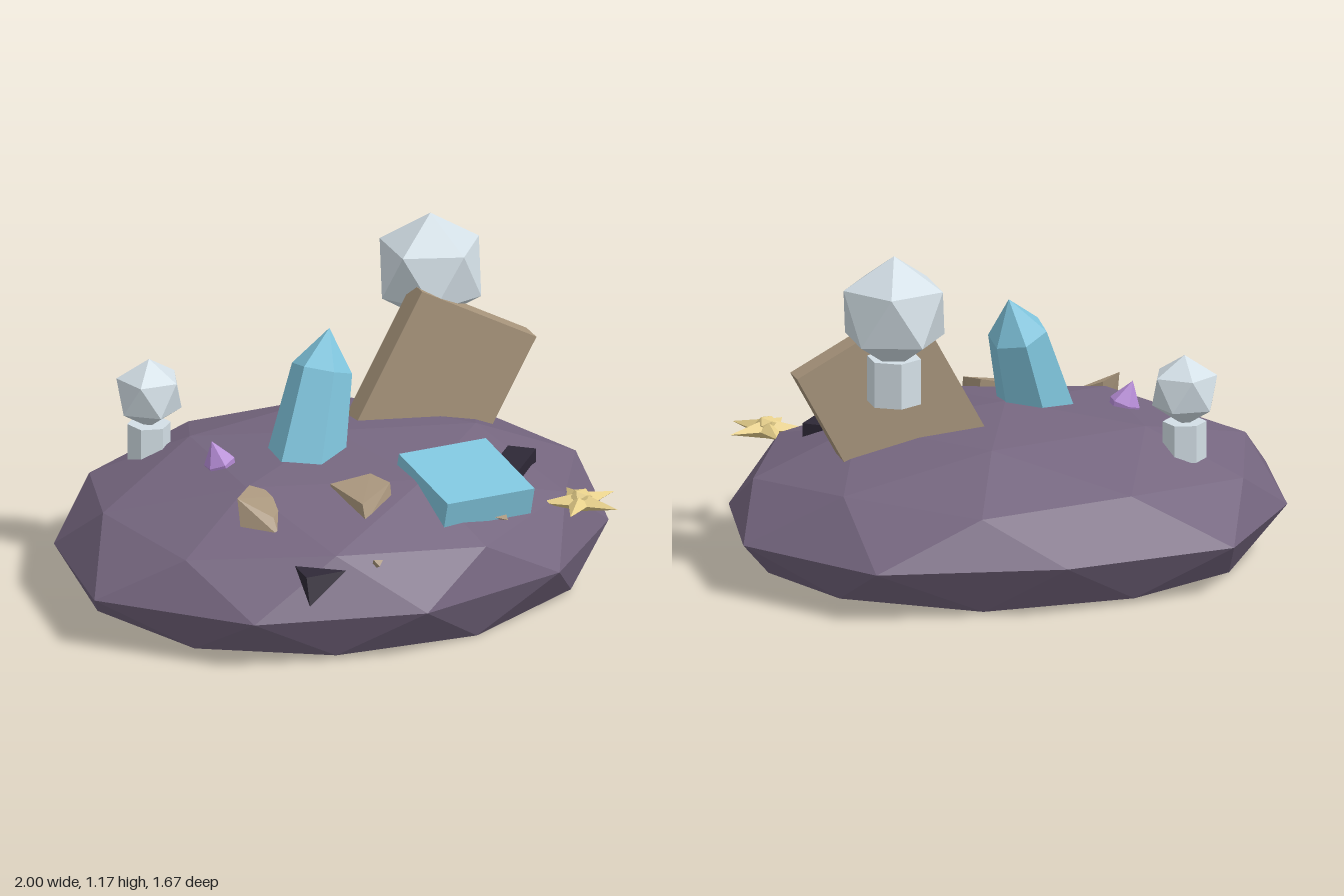
import * as THREE from 'three';
import { ConvexGeometry } from 'three/addons/geometries/ConvexGeometry.js';

const COLORS = {
  rock: 0x75667f, ice: 0x7fc4dc, wood: 0xa8957c, glass: 0xd3dfe6,
  star: 0xe6cf8a, violet: 0xb48ad4, dark: 0x2e2836,
};
const materials = Object.fromEntries(Object.entries(COLORS).map(([name, color]) =>
  [name, new THREE.MeshStandardMaterial({ color, flatShading: true })]));

const deg = THREE.MathUtils.degToRad;
const UP = new THREE.Vector3(0, 1, 0);

function part(name, geometry, color, [x, y, z] = [0, 0, 0]) {
  const mesh = new THREE.Mesh(geometry, materials[color]);
  mesh.name = name;
  mesh.position.set(x, y, z);
  return mesh;
}

const hull = (points) => new ConvexGeometry(points.map((p) => new THREE.Vector3(...p)));

// Squashed island: rings of five around an upright axis, with a flat underside
function rockGeometry() {
  const points = [[0, 0.548, 0]];
  const ring = (radius, y, offset) => {
    for (let i = 0; i < 5; i++) {
      const a = deg(offset + i * 72);
      points.push([Math.cos(a) * radius, y, Math.sin(a) * radius * 0.83]);
    }
  };
  ring(0.526, 0.497, 0);
  ring(0.85, 0.373, 36);
  ring(0.894, 0.34, 0);
  ring(0.87, 0.015, 36);
  ring(0.84, 0, 0);
  const rim = [[0.01, 0.83], [0.57, 0.65], [0.91, 0.26], [1, -0.26], [0.66, -0.74],
    [0.01, -0.84], [-0.61, -0.73], [-0.93, -0.25], [-1, 0.29], [-0.58, 0.71]];
  for (const [x, z] of rim) points.push([x, 0.18, z]);
  return hull(points);
}

// Six-sided leaning crystal; origin at the base, lean gives its axis
function crystal(name, color, position, lean, profile) {
  const points = profile.map(([r, y]) => new THREE.Vector2(r, y));
  const mesh = part(name, new THREE.LatheGeometry(points, 6), color, position);
  mesh.quaternion.setFromUnitVectors(UP, new THREE.Vector3(...lean).normalize());
  return mesh;
}

// Faceted globe, one corner pointing up, on a short six-sided base
function lamp(name, [x, y, z], radius, baseRadius, baseTop, baseBottom, turn) {
  const group = new THREE.Group();
  group.name = name;
  const globe = new THREE.IcosahedronGeometry(radius, 0)
    .rotateZ(-Math.atan(2 / (1 + Math.sqrt(5))));
  const height = baseTop - baseBottom;
  const base = new THREE.CylinderGeometry(baseRadius, baseRadius, height, 6);
  group.add(part('globe', globe, 'glass'));
  group.add(part('lampBase', base, 'glass', [0, baseTop - height / 2 - y, 0]));
  group.position.set(x, y, z);
  group.rotation.y = turn;
  return group;
}

// Five-pointed star: a double pyramid with every other rim corner pulled in
function starGeometry(outer, inner, height) {
  const geometry = new THREE.SphereGeometry(1, 10, 2);
  const p = geometry.attributes.position;
  for (let i = 0; i < p.count; i++) {
    const k = Math.round(Math.atan2(p.getZ(i), p.getX(i)) / (Math.PI / 5));
    const r = k % 2 === 0 ? outer : inner;
    p.setXYZ(i, p.getX(i) * r, p.getY(i) * height, p.getZ(i) * r);
  }
  geometry.computeVertexNormals();
  return geometry;
}

export function createModel() {
  const model = new THREE.Group();
  model.name = 'rockIsland';
  model.add(part('rock', rockGeometry(), 'rock'));

  // Leaning slab
  const slab = part('slab', new THREE.BoxGeometry(0.48, 0.52, 0.09), 'wood', [0.456, 0.622, -0.147]);
  slab.rotation.z = deg(-28.5);
  model.add(slab);

  // Globes
  model.add(lamp('largeLamp', [0.472, 0.975, -0.28], 0.2, 0.095, 0.815, 0.655, 0));
  model.add(lamp('smallLamp', [-0.54, 0.64, -0.345], 0.125, 0.075, 0.53, 0.4, 0.3));

  // Crystals
  model.add(crystal('largeCrystal', 'ice', [-0.155, 0.4, 0.088], [0.085, 0.29, -0.065],
    [[0, 0], [0.145, 0], [0.105, 0.41], [0, 0.55]]));
  model.add(crystal('smallCrystal', 'violet', [-0.405, 0.44, 0.02], [-0.35, 1, -0.05],
    [[0, 0], [0.04, 0], [0.055, 0.07], [0, 0.15]]));

  // Tilted block and the beam beneath it
  const block = part('block', new THREE.BoxGeometry(0.345, 0.1, 0.34), 'ice', [0.31, 0.465, 0.43]);
  block.rotation.set(deg(12), deg(8), deg(-2), 'YXZ');
  model.add(block);
  const beam = part('beam', new THREE.BoxGeometry(0.1, 0.08, 0.46), 'dark', [0.48, 0.42, 0.36]);
  beam.rotation.y = -0.67;
  model.add(beam);

  // Stones
  const stones = {
    leftStone: [[-0.505, 0.51, 0.37], [-0.42, 0.51, 0.27], [-0.29, 0.465, 0.31], [-0.4, 0.45, 0.44],
      [-0.505, 0.41, 0.4], [-0.4, 0.4, 0.49], [-0.29, 0.4, 0.35], [-0.42, 0.38, 0.3]],
    middleStone: [[-0.15, 0.5, 0.34], [-0.01, 0.525, 0.36], [0.03, 0.515, 0.44], [-0.1, 0.48, 0.51],
      [-0.155, 0.44, 0.36], [0, 0.42, 0.36], [0.03, 0.44, 0.46], [-0.1, 0.42, 0.54]],
    frontStone: [[0.28, 0.41, 0.55], [0.41, 0.41, 0.54], [0.4, 0.38, 0.6], [0.34, 0.36, 0.5]],
    pebble: [[-0.25, 0.43, 0.5], [-0.225, 0.43, 0.5], [-0.235, 0.415, 0.53], [-0.24, 0.36, 0.48]],
    lowPebble: [[-0.145, 0.36, 0.72], [-0.11, 0.355, 0.72], [-0.13, 0.34, 0.74], [-0.13, 0.3, 0.66]],
  };
  for (const [name, points] of Object.entries(stones)) model.add(part(name, hull(points), 'wood'));
  model.add(part('darkShard', hull([[-0.41, 0.355, 0.66], [-0.25, 0.34, 0.73], [-0.4, 0.245, 0.77],
    [-0.4, 0.34, 0.74], [-0.35, 0.25, 0.6]]), 'dark'));

  // Starfish with a faceted centre
  const star = new THREE.Group();
  star.name = 'starfish';
  star.add(part('starBody', starGeometry(0.15, 0.055, 0.035), 'star'));
  star.add(part('starCentre', new THREE.IcosahedronGeometry(0.04, 0).scale(1, 0.7, 1), 'star', [0, 0.018, 0]));
  star.position.set(0.71, 0.365, 0.5);
  star.rotation.y = deg(18);
  model.add(star);

  return model;
}
